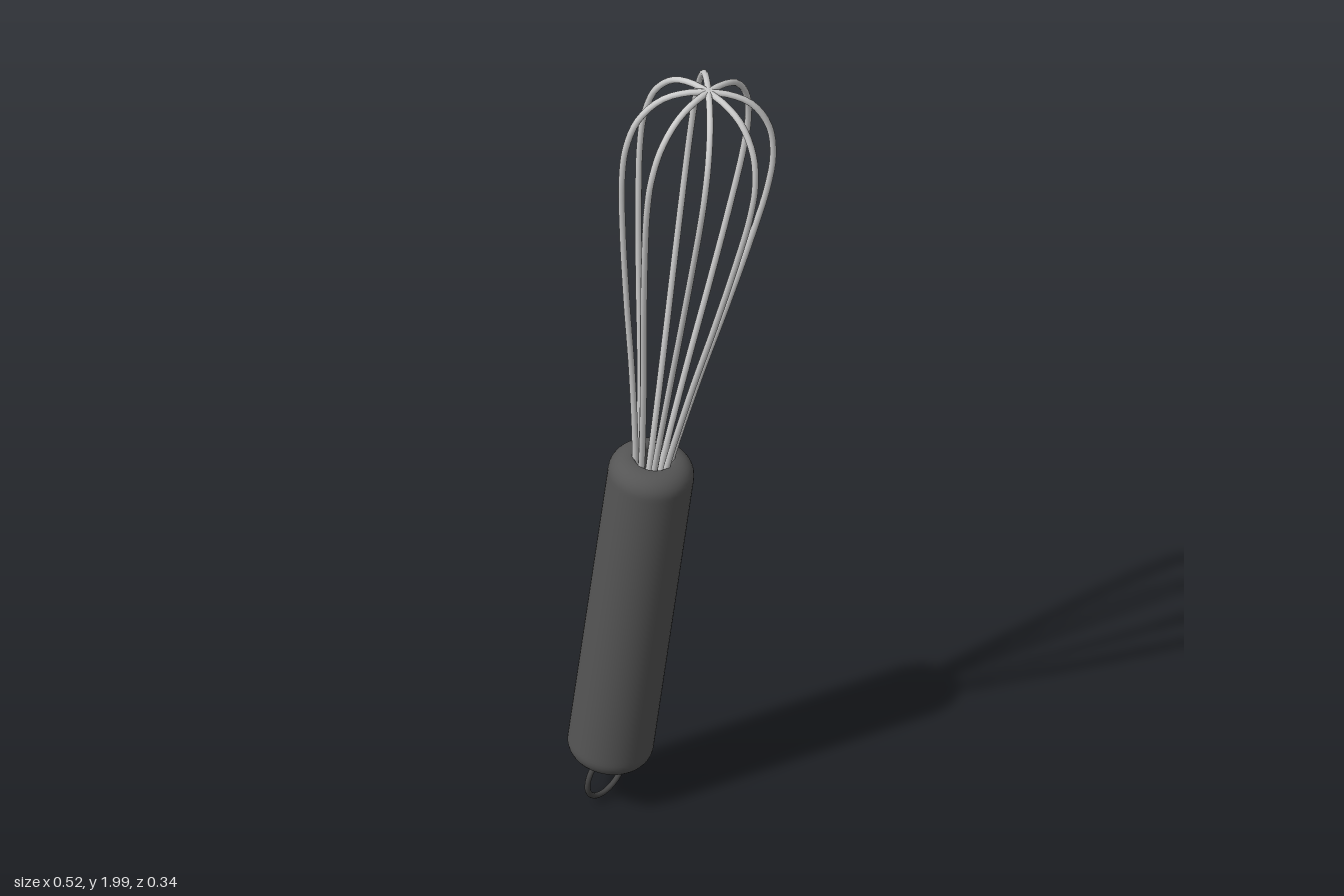
import * as THREE from 'three';

const TILT = 0.153;
const steel = new THREE.MeshStandardMaterial({ color: 0xcccccc });
const darkGrip = new THREE.MeshStandardMaterial({ color: 0x555555 });
const darkMetal = new THREE.MeshStandardMaterial({ color: 0x444444 });

function addMesh(parent, geometry, material, name) {
  const mesh = new THREE.Mesh(geometry, material);
  mesh.name = name;
  parent.add(mesh);
  return mesh;
}

// Handle: long rounded grip with a recess in its upper end
function handleGeometry() {
  const R = 0.095, bottom = 0.111, top = 0.963, round = 0.045, lip = 0.01;
  const pts = [new THREE.Vector2(0, bottom - 0.002)];
  const arc = (cx, cy, r, from, to) => {
    for (let i = 0; i <= 8; i++) {
      const a = from + (to - from) * i / 8;
      pts.push(new THREE.Vector2(cx + r * Math.cos(a), cy + r * Math.sin(a)));
    }
  };
  arc(R - round, bottom + round, round, -Math.PI / 2, 0);
  pts.push(new THREE.Vector2(R, bottom + round + 0.01), new THREE.Vector2(R, top - round - 0.01));
  arc(R - round, top - round, round, 0, Math.PI / 2);
  // Inner edge of the rim, then recess wall and floor
  arc(R - round, top - lip, lip, Math.PI * 0.6, Math.PI);
  pts.push(new THREE.Vector2(0.042, 0.905), new THREE.Vector2(0.038, 0.9), new THREE.Vector2(0, 0.9));
  return new THREE.LatheGeometry(pts, 48);
}

// One balloon wire: half profile (radius, height) mirrored across the axis
function wireGeometry() {
  const half = [
    [0.033, 0.89], [0.042, 0.98], [0.075, 1.2], [0.11, 1.4], [0.142, 1.6],
    [0.161, 1.75], [0.162, 1.84], [0.143, 1.92], [0.1, 1.977], [0.05, 2.0],
  ];
  const points = [
    ...half.map(([r, y]) => new THREE.Vector3(r, y, 0)),
    new THREE.Vector3(0, 2.005, 0),
    ...half.slice().reverse().map(([r, y]) => new THREE.Vector3(-r, y, 0)),
  ];
  return new THREE.TubeGeometry(new THREE.CatmullRomCurve3(points), 120, 0.0075, 10);
}

export function createModel() {
  const model = new THREE.Group();
  model.name = 'whisk';

  // Everything leans along one tilted axis
  const body = new THREE.Group();
  body.name = 'tiltedBody';
  body.position.set(-0.192, 0.005, -0.002);
  body.rotation.z = -TILT;
  model.add(body);

  addMesh(body, handleGeometry(), darkGrip, 'handle');

  // Four crossing wire loops
  const wires = new THREE.Group();
  wires.name = 'wireLoops';
  body.add(wires);
  const wire = wireGeometry();
  for (let i = 0; i < 4; i++) {
    addMesh(wires, wire, steel, 'wireLoop').rotation.y = i * Math.PI / 4;
  }

  // Hanging ring under the handle
  const ring = addMesh(body, new THREE.TorusGeometry(0.061, 0.0065, 10, 48), darkMetal, 'hangingRing');
  ring.position.y = 0.066;
  ring.rotation.y = Math.PI / 2;

  return model;
}
